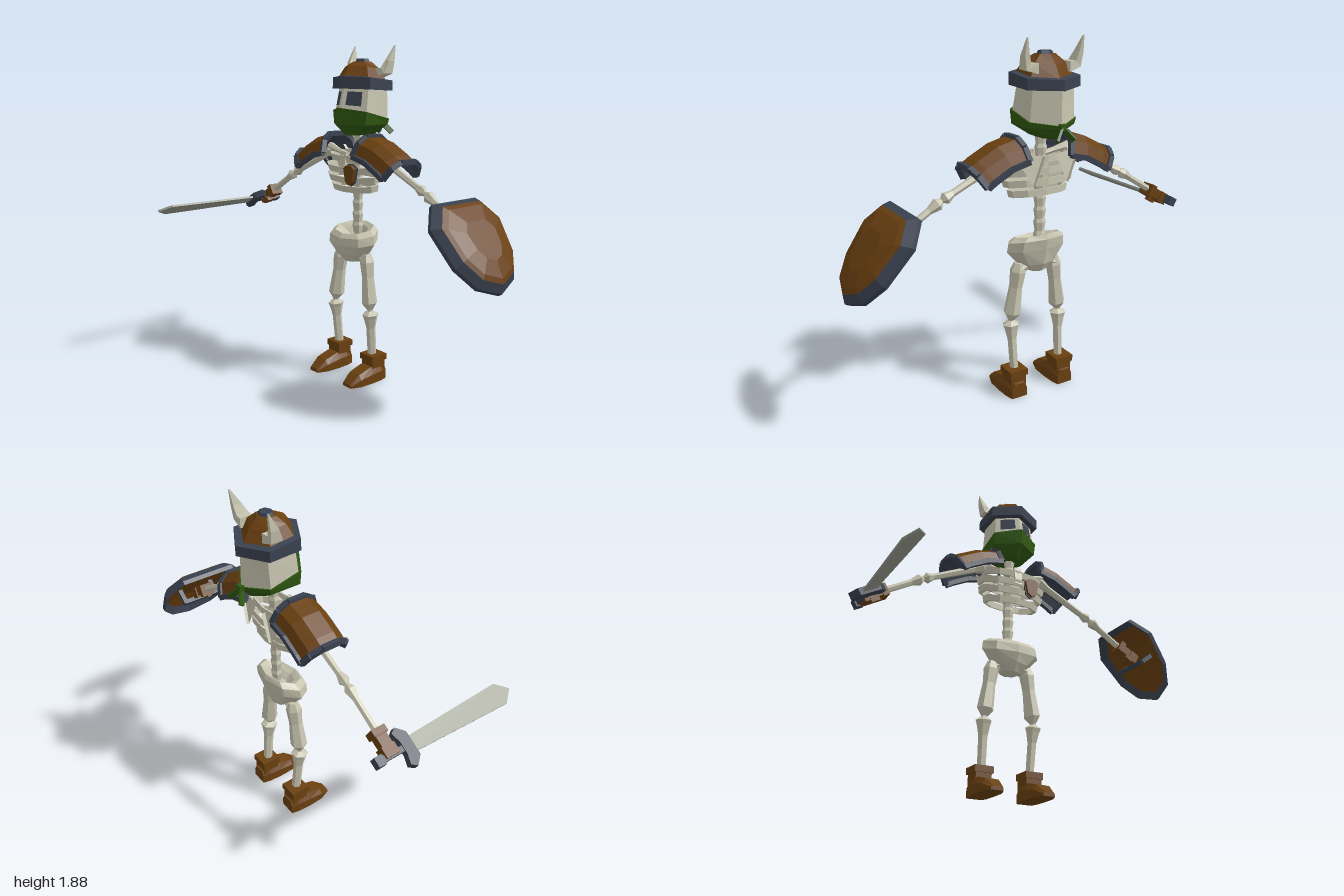
import * as THREE from 'three';

const V = (x, y, z) => new THREE.Vector3(x, y, z);
const paint = (name, color) => Object.assign(new THREE.MeshStandardMaterial({ color, flatShading: true }), { name });

export function createModel() {
  const bone = paint('bone', 0xc8c5b0), leather = paint('leather', 0x6a4010), iron = paint('iron', 0x3a4250);
  const cloth = paint('green cloth', 0x2f5810), steel = paint('steel', 0x989b8e);

  const model = new THREE.Group();
  model.name = 'skeletonWarrior';
  const body = new THREE.Group();
  body.name = 'body';
  body.position.x = -0.05;
  model.add(body);

  const add = (name, mat, geo, parent = body) => {
    const m = new THREE.Mesh(geo, mat);
    m.name = name;
    parent.add(m);
    return m;
  };

  // Skin between rings of points; s = -1 mirrors across x
  const loft = (name, mat, rings, { s = 1, closed = true, caps = 'both', parent = body } = {}) => {
    const pos = [], idx = [], n = rings[0].length;
    for (const r of rings) for (const p of (s < 0 ? [...r].reverse() : r)) pos.push(p.x * s, p.y, p.z);
    for (let j = 0; j < rings.length - 1; j++)
      for (let i = 0; i < (closed ? n : n - 1); i++) {
        const a = j * n + i, b = j * n + (i + 1) % n, c = b + n, d = a + n;
        idx.push(a, b, d, c, d, b);
      }
    const cap = (j, flip) => {
      const mid = rings[j].reduce((t, p) => t.add(p), V(0, 0, 0)).divideScalar(n), k = pos.length / 3;
      pos.push(mid.x * s, mid.y, mid.z);
      for (let i = 0; i < n; i++) {
        const a = j * n + i, b = j * n + (i + 1) % n;
        flip ? idx.push(k, b, a) : idx.push(k, a, b);
      }
    };
    if (closed && (caps === 'both' || caps === 'start')) cap(0, true);
    if (closed && (caps === 'both' || caps === 'end')) cap(rings.length - 1, false);
    const g = new THREE.BufferGeometry();
    g.setAttribute('position', new THREE.Float32BufferAttribute(pos, 3));
    g.setIndex(idx);
    g.computeVertexNormals();
    return add(name, mat, g, parent);
  };

  // Horizontal ring between a front and a back z; dy raises the front and lowers the back
  const hoop = (n, y, rx, zf, zb, dy = 0) => Array.from({ length: n }, (_, i) => {
    const t = i / n * Math.PI * 2, k = n === 6 ? 0.866 : 1;
    return V(rx * Math.sin(t) / k, y + dy * Math.cos(t), (zf + zb) / 2 + (zf - zb) / 2 * Math.cos(t));
  });

  const along = (mesh, a, b) => {
    mesh.position.copy(a).lerp(b, 0.5);
    mesh.quaternion.setFromUnitVectors(V(0, 1, 0), b.clone().sub(a).normalize());
    return mesh;
  };
  const bar = (name, mat, a, b, w, d, parent) =>
    along(add(name, mat, new THREE.BoxGeometry(w, a.distanceTo(b), d), parent), a, b);
  // Bone turned from [radius, position 0..1] pairs
  const limb = (name, mat, a, b, prof, n = 6) => {
    const len = a.distanceTo(b);
    const pts = [[0, prof[0][1]], ...prof, [0, prof.at(-1)[1]]].map(([r, t]) => new THREE.Vector2(r, (t - 0.5) * len));
    return along(add(name, mat, new THREE.LatheGeometry(pts, n), ), a, b);
  };
  const plate = (pts, depth) => new THREE.ExtrudeGeometry(
    new THREE.Shape(pts.map(p => new THREE.Vector2(...p))), { depth, bevelEnabled: false });

  // Head
  const low = hoop(6, 1.5, 0.13, -0.155, -0.475, 0.03), brow = hoop(6, 1.66, 0.118, -0.188, -0.468);
  loft('skull', bone, [hoop(6, 1.43, 0.08, -0.19, -0.44), low, brow]);
  loft('faceMask', cloth, [
    hoop(6, 1.40, 0.04, -0.2, -0.425), hoop(6, 1.46, 0.13, -0.145, -0.478, 0.0),
    hoop(6, 1.512, 0.138, -0.142, -0.483, 0.042), hoop(6, 1.51, 0.12, -0.17, -0.46, 0.035)], { caps: 'start' });
  for (const s of [-1, 1]) {
    // Eye opening laid on the slanted cheek face
    const on = (u, v, o) => low[0].clone().lerp(low[1], u).lerp(brow[0].clone().lerp(brow[1], u), v)
      .add(V(0.5 * o, 0.1 * o, 0.86 * o));
    const quad = (u0, u1, v0, v1, o) => [[on(u0, v0, o), on(u1, v0, o)], [on(u0, v1, o), on(u1, v1, o)]];
    loft('eye', iron, quad(0.18, 0.78, 0.3, 0.84, 0.005), { s, closed: false });
    bar('maskTail', cloth, V(0, 1.465, -0.475), V(s * 0.05, 1.405, -0.508), 0.03, 0.012);
    // Horn
    const sq = (xi, yi, xo, yo, zf, zb) => [V(xi, yi, zf), V(xo, yo, zf), V(xo, yo, zb), V(xi, yi, zb)];
    loft('horn', bone, [sq(0.09, 1.765, 0.09, 1.715, -0.335, -0.405), sq(0.128, 1.765, 0.155, 1.735, -0.335, -0.40),
      sq(0.142, 1.81, 0.165, 1.80, -0.36, -0.405), sq(0.156, 1.885, 0.162, 1.885, -0.408, -0.414)], { s });
  }
  add('maskKnot', cloth, new THREE.BoxGeometry(0.035, 0.03, 0.025)).position.set(0, 1.468, -0.48);

  // Helmet
  loft('helmetBand', iron, [hoop(6, 1.648, 0.12, -0.19, -0.455, 0.008), hoop(6, 1.648, 0.152, -0.15, -0.492, 0.008),
    hoop(6, 1.706, 0.152, -0.153, -0.49, 0.016), hoop(6, 1.71, 0.12, -0.185, -0.455, 0.016)]);
  loft('helmetDome', leather, [hoop(6, 1.70, 0.125, -0.18, -0.455, 0.016), hoop(6, 1.765, 0.09, -0.225, -0.415, 0.012),
    hoop(6, 1.8, 0.045, -0.27, -0.37)]);
  loft('helmetKnob', iron, [hoop(6, 1.79, 0.04, -0.28, -0.365), hoop(6, 1.815, 0.03, -0.29, -0.352)]);

  // Spine
  for (let i = 0; i < 9; i++) {
    const y = 0.84 + i * 0.065;
    loft('vertebra', bone, [hoop(6, y, 0.023, -0.275, -0.32), hoop(6, y + 0.045, 0.029, -0.268, -0.326),
      hoop(6, y + 0.065, 0.023, -0.275, -0.32)]);
  }

  // Rib cage
  [[1.265, 0.19], [1.205, 0.215], [1.15, 0.205], [1.095, 0.175]].forEach(([y, r]) => {
    const prof = [[r - 0.025, 0], [r - 0.008, 0], [r, 0.036], [r - 0.02, 0.036], [r - 0.025, 0]].map(p => new THREE.Vector2(...p));
    const rib = add('rib', bone, new THREE.LatheGeometry(prof, 10));
    rib.position.set(0, y, -0.275);
    rib.scale.z = 0.5;
    rib.rotation.x = 0.12;
  });
  bar('sternum', bone, V(0, 1.31, -0.195), V(0, 1.2, -0.178), 0.045, 0.02);
  const crest = [[-0.047, 0.04], [-0.03, -0.04], [0, -0.062], [0.03, -0.04], [0.047, 0.04], [0.02, 0.06], [-0.02, 0.06]];
  add('badgeBack', iron, plate(crest, 0.012)).position.set(0.078, 1.19, -0.183);
  add('badge', leather, plate(crest.map(p => p.map(v => v * 0.9)), 0.02)).position.set(0.078, 1.19, -0.172);

  // Pelvis
  loft('pelvis', bone, [hoop(8, 0.685, 0.055, -0.21, -0.32), hoop(8, 0.73, 0.11, -0.18, -0.345),
    hoop(8, 0.80, 0.175, -0.16, -0.365, -0.02), hoop(8, 0.85, 0.168, -0.16, -0.375, -0.025),
    hoop(8, 0.875, 0.13, -0.18, -0.365, -0.025), hoop(8, 0.855, 0.09, -0.21, -0.34, -0.025), hoop(8, 0.80, 0.05, -0.24, -0.32)]);

  // Paired limbs and armour
  for (const s of [-1, 1]) {
    const P = (x, y, z) => V(s * x, y, z);
    limb('hip', bone, P(0.03, 0.735, -0.27), P(0.115, 0.70, -0.27), [[0.03, 0], [0.035, 1]]);
    limb('thigh', bone, P(0.105, 0.735, -0.27), P(0.15, 0.41, -0.262),
      [[0.028, 0], [0.043, 0.14], [0.036, 0.4], [0.046, 0.85], [0.017, 0.97], [0.017, 1]]);
    limb('shin', bone, P(0.15, 0.415, -0.262), P(0.143, 0.13, -0.288),
      [[0.017, 0], [0.047, 0.07], [0.04, 0.14], [0.027, 0.35], [0.025, 1]]);

    // Boot
    const foot = (z, w, h) => [[-1, 0], [1, 0], [1, 0.6], [0.65, 1], [-0.65, 1], [-1, 0.6]].map(([a, b]) => V(0.147 + a * w, b * h, z));
    loft('bootFoot', leather, [foot(-0.352, 0.045, 0.08), foot(-0.31, 0.056, 0.095), foot(-0.235, 0.06, 0.09),
      foot(-0.15, 0.057, 0.066), foot(-0.09, 0.034, 0.02)], { s });
    const shaft = add('bootShaft', leather, new THREE.BoxGeometry(0.09, 0.1, 0.095));
    shaft.position.set(s * 0.147, 0.085, -0.293);
    const cuff = add('bootCuff', leather, new THREE.BoxGeometry(0.106, 0.035, 0.108));
    cuff.position.set(s * 0.147, 0.136, -0.293);

    // Shoulder bones and arm
    limb('collarBone', bone, P(0.02, 1.285, -0.24), P(0.2, 1.325, -0.262), [[0.016, 0], [0.014, 0.5], [0.024, 1]]);
    loft('shoulderBlade', bone, [[P(0.19, 1.33, -0.35), P(0.04, 1.31, -0.375), P(0.1, 1.17, -0.385)],
      [P(0.19, 1.33, -0.372), P(0.04, 1.31, -0.397), P(0.1, 1.17, -0.4)]].map(r => s > 0 ? r : [...r].reverse()));
    limb('upperArm', bone, P(0.17, 1.31, -0.267), P(0.542, 1.135, -0.267),
      [[0.02, 0], [0.034, 0.06], [0.021, 0.2], [0.018, 0.84], [0.031, 0.94], [0.012, 1]]);
    limb('forearm', bone, P(0.54, 1.136, -0.267), P(0.77, 0.998, -0.267), [[0.012, 0], [0.032, 0.1], [0.018, 0.3], [0.019, 1]]);

    // Glove
    const hand = new THREE.Group();
    hand.name = 'glove';
    hand.position.set(s * 0.82, 0.965, -0.267);
    hand.rotation.z = -s * 0.53;
    body.add(hand);
    const block = (name, w, h, d, x, y, z) => add(name, leather, new THREE.BoxGeometry(w, h, d), hand).position.set(s * x, y, z);
    block('gloveCuff', 0.035, 0.068, 0.078, -0.068, 0, 0);
    block('palm', 0.06, 0.05, 0.06, -0.025, 0, 0);
    block('fingers', 0.055, 0.062, 0.075, 0.03, -0.005, 0);
    block('thumb', 0.05, 0.024, 0.026, 0.005, -0.038, 0.03);

    // Shoulder guard: arched plate, dark lining and edge trim
    const path = [[0.15, 1.40, 0.25, 0.97], [0.26, 1.372, 0.37, 0.93], [0.37, 1.315, 0.5, 0.87], [0.415, 1.285, 0.55, 0.83]];
    const arch = [[-0.125, -0.105], [-0.1, -0.035], [-0.05, 0], [0.05, 0], [0.1, -0.035], [0.125, -0.105]];
    const guard = o => path.map(([x, y, nx, ny]) => arch.map(([w, h]) => V(x + nx * (h + o), y + ny * (h + o), -0.265 + w * (1 + o))));
    const outer = guard(0);
    loft('shoulderGuard', leather, outer, { s, closed: false });
    loft('guardLining', iron, guard(-0.012).map(r => [...r].reverse()), { s, closed: false });
    const trim = line => line.slice(1).forEach((p, i) =>
      bar('guardTrim', iron, P(line[i].x, line[i].y, line[i].z), P(p.x, p.y, p.z), 0.027, 0.027));
    trim(outer[0]);
    trim(outer[3]);
    trim(outer.map(r => r[0]));
    trim(outer.map(r => r[5]));
  }

  // Sword, held in the right hand
  const sword = new THREE.Group();
  sword.name = 'sword';
  sword.position.set(-0.862, 0.937, 0);
  sword.rotation.z = 0.53;
  body.add(sword);
  const flat = (name, mat, pts, d) => add(name, mat, plate(pts, d).translate(0, 0, -d / 2).rotateX(Math.PI / 2), sword);
  flat('blade', steel, [[-0.038, -0.17], [0.038, -0.17], [0.058, 0.444], [0, 0.513], [-0.058, 0.444]], 0.012);
  flat('crossGuard', iron, [[-0.1, -0.185], [-0.08, -0.215], [-0.03, -0.2], [0.03, -0.2], [0.08, -0.215], [0.1, -0.185],
    [0.06, -0.142], [-0.06, -0.142]], 0.04);
  bar('grip', iron, V(0, 0, -0.35), V(0, 0, -0.19), 0.03, 0.03, sword);
  bar('pommel', iron, V(0, 0, -0.36), V(0, 0, -0.315), 0.05, 0.045, sword);

  // Shield, carried on the left arm
  const shield = new THREE.Group();
  shield.name = 'shield';
  shield.position.set(0.88, 0.915, -0.262);
  shield.rotation.z = 0.657;
  body.add(shield);
  const half = [[0.255, 0.16], [0.13, 0.248], [-0.08, 0.215], [-0.2, 0.135]];
  const outline = [...half, [-0.255, 0], ...half.map(([y, z]) => [y, -z]).reverse()];
  const lay = list => list.map(([k, x]) => outline.map(([y, z]) => V(x, y * k, z * k)));
  loft('shieldRim', iron, lay([[0.84, 0.022], [0.99, -0.012], [1, 0.012], [0.86, 0.048]]), { caps: 'none', parent: shield });
  loft('shieldFace', leather, lay([[0.86, 0.048], [0.76, 0.06], [0.42, 0.078]]), { caps: 'end', parent: shield });
  loft('shieldBack', leather, lay([[0.42, 0.052], [0.84, 0.022]]), { caps: 'start', parent: shield });
  bar('shieldGrip', iron, V(-0.03, 0, -0.1), V(-0.03, 0, 0.1), 0.025, 0.025, shield);
  for (const z of [-0.1, 0.1]) bar('gripMount', iron, V(-0.04, 0, z), V(0.05, 0, z), 0.025, 0.025, shield);

  return model;
}
